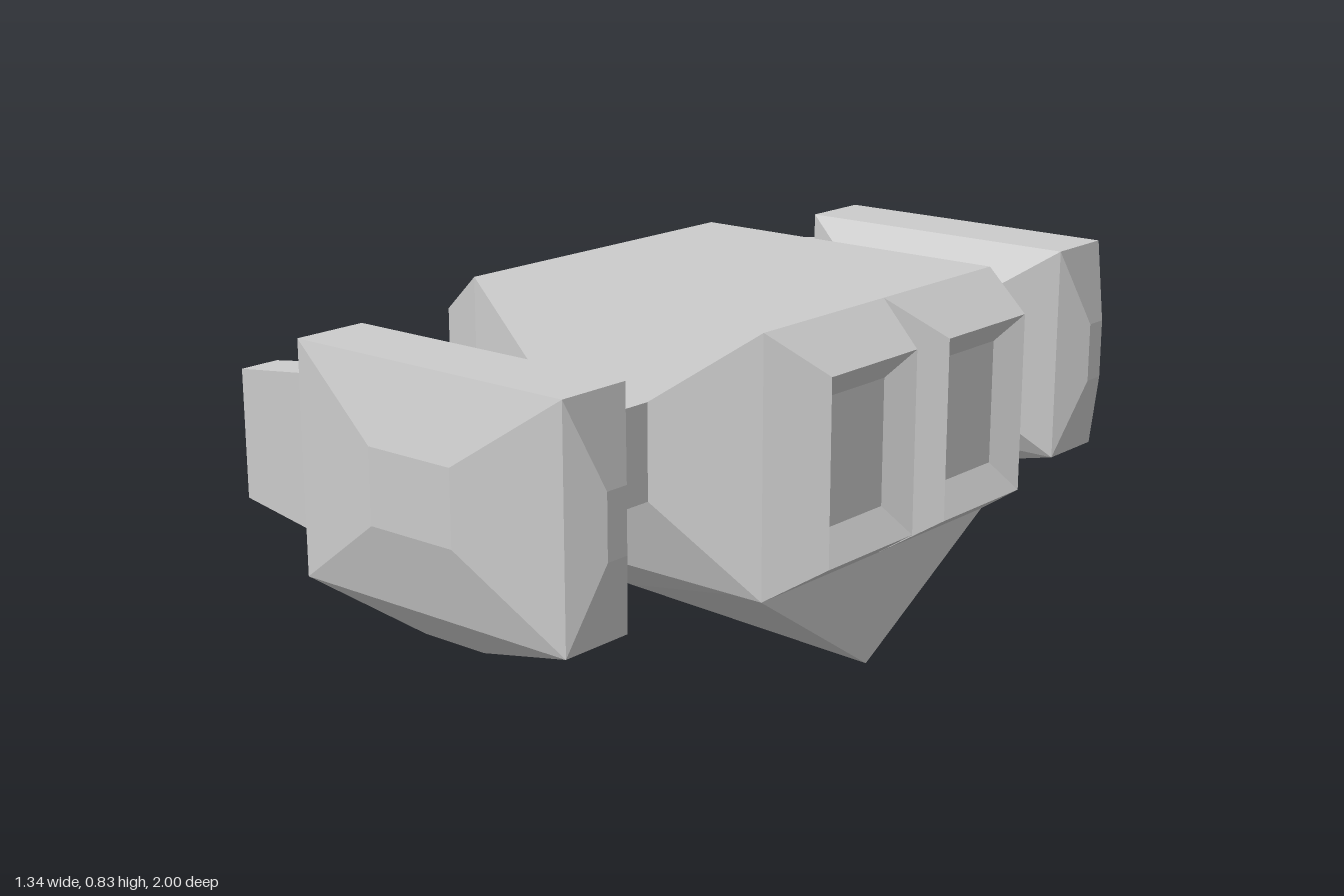
import * as THREE from 'three';

const material = new THREE.MeshStandardMaterial({ color: 0xcccccc, flatShading: true });

// Rectangular cross-section at a position along an axis.
// Axis x: a = z, b = y.  Axis y: a = x, b = z.  Axis z: a = x, b = y.
function ring(axis, p, a0, a1, b0, b1) {
  const place = { x: (a, b) => [p, b, a], y: (a, b) => [a, p, b], z: (a, b) => [a, b, p] }[axis];
  return [place(a0, b0), place(a1, b0), place(a1, b1), place(a0, b1)];
}

// Faceted mesh from triangles; the winding is turned outward by signed volume.
function facetMesh(name, tris) {
  let volume = 0;
  for (const t of tris) {
    const [a, b, c] = t.map((p) => new THREE.Vector3(...p));
    volume += a.dot(b.cross(c));
  }
  const out = volume < 0 ? tris.map(([a, b, c]) => [a, c, b]) : tris;
  const geometry = new THREE.BufferGeometry();
  geometry.setAttribute('position', new THREE.Float32BufferAttribute(out.flat(2), 3));
  geometry.computeVertexNormals();
  const mesh = new THREE.Mesh(geometry, material);
  mesh.name = name;
  return mesh;
}

// Closed solid through a row of four-cornered sections.
function loft(name, rings) {
  const tris = [];
  const quad = (a, b, c, d) => tris.push([a, b, c], [a, c, d]);
  for (let i = 0; i < rings.length - 1; i++) {
    const r = rings[i], s = rings[i + 1];
    for (let k = 0; k < 4; k++) {
      const n = (k + 1) % 4;
      quad(r[k], r[n], s[n], s[k]);
    }
  }
  const first = rings[0], last = rings[rings.length - 1];
  quad(first[3], first[2], first[1], first[0]);
  quad(...last);
  return facetMesh(name, tris);
}

// Pointed keel, one half mirrored to the other
function makeKeel() {
  const half = (s) => {
    const A = [-0.27, 0.27, 0.41 * s], B = [0.54, 0.27, 0.41 * s];
    const E = [0.05, 0.155, 0.26 * s], F = [0.39, 0.22, 0.3 * s];
    const C = [-0.04, 0.085, 0], D = [0.515, 0.005, 0];
    const G = [0.54, 0.27, 0], H = [-0.27, 0.27, 0];
    const tris = [[A, C, E], [C, D, E], [E, D, F], [A, E, F], [A, F, B], [F, D, B],
      [B, D, G], [C, A, H], [A, B, G], [A, G, H]];
    return s > 0 ? tris : tris.map(([a, b, c]) => [a, c, b]);
  };
  return facetMesh('keel', [...half(1), ...half(-1)]);
}

// Side pod with bevelled faces and a tapered tail
function makePod(s) {
  const pod = new THREE.Group();
  pod.name = s > 0 ? 'frontPod' : 'backPod';
  const z = (v) => v * s;
  pod.add(
    loft('podShell', [
      ring('z', z(0.7), -0.02, 0.285, 0.45, 0.665),
      ring('z', z(0.78), -0.23, 0.5, 0.3, 0.81),
      ring('z', z(0.955), -0.23, 0.5, 0.3, 0.81),
      ring('z', z(1), 0.02, 0.245, 0.475, 0.64),
    ]),
    loft('podEnd', [
      ring('x', 0.5, z(0.78), z(0.955), 0.3, 0.81),
      ring('x', 0.555, z(0.84), z(0.895), 0.49, 0.63),
    ]),
    loft('podBelly', [
      ring('y', 0.3, -0.23, 0.5, z(0.78), z(0.955)),
      ring('y', 0.222, 0.05, 0.215, z(0.845), z(0.89)),
    ]),
    loft('podTail', [
      ring('x', -0.23, z(0.81), z(0.925), 0.385, 0.73),
      ring('x', -0.46, z(0.82), z(0.915), 0.415, 0.7),
    ]),
  );
  return pod;
}

export function createModel() {
  const model = new THREE.Group();

  // Main body with wedge nose
  model.add(loft('body', [
    ring('x', -0.67, 0, 0, 0.51, 0.61),
    ring('x', -0.53, -0.24, 0.24, 0.415, 0.7),
    ring('x', -0.27, -0.41, 0.41, 0.27, 0.84),
    ring('x', 0.54, -0.41, 0.41, 0.27, 0.84),
  ]));
  model.add(makeKeel());

  for (const s of [1, -1]) {
    // Bevelled flank and the strut out to the pod
    model.add(loft('flank', [
      ring('z', 0.41 * s, -0.27, 0.54, 0.27, 0.84),
      ring('z', 0.47 * s, -0.02, 0.285, 0.45, 0.665),
    ]));
    model.add(loft('strut', [
      ring('z', 0.47 * s, -0.02, 0.285, 0.45, 0.665),
      ring('z', 0.7 * s, -0.02, 0.285, 0.45, 0.665),
    ]));
    // Engine outlet with a recessed face
    model.add(loft('engine', [
      ring('x', 0.54, 0, 0.41 * s, 0.27, 0.84),
      ring('x', 0.67, 0.06 * s, 0.355 * s, 0.355, 0.76),
      ring('x', 0.62, 0.105 * s, 0.31 * s, 0.42, 0.7),
    ]));
    model.add(makePod(s));
  }
  return model;
}
